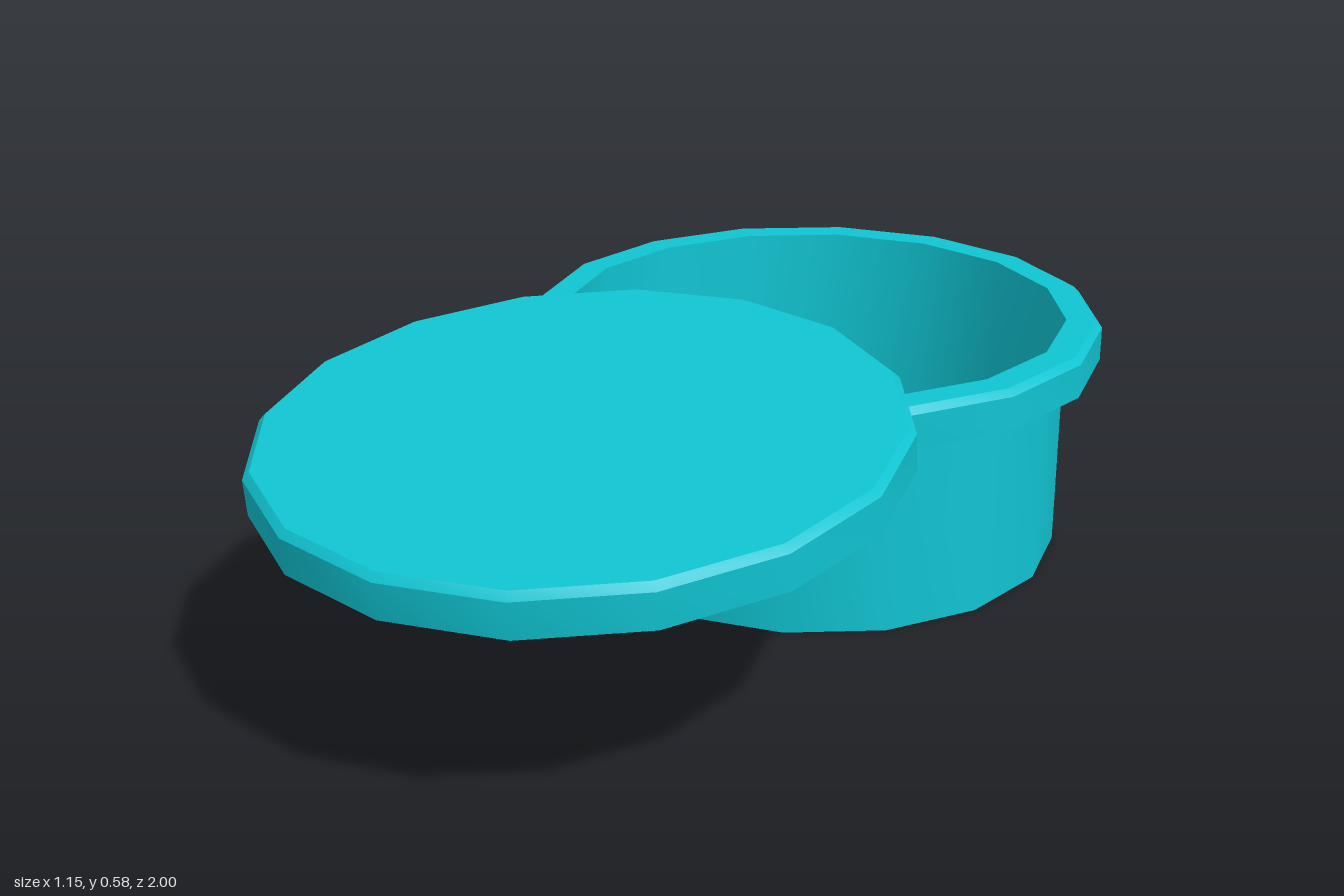
import * as THREE from 'three';
import { toCreasedNormals } from 'three/addons/utils/BufferGeometryUtils.js';

const SIDES = 16;
const material = new THREE.MeshStandardMaterial({ color: 0x10c4d2, side: THREE.DoubleSide });

// Thin 16-sided shell turned from a [radius, height] profile
function turned(name, profile) {
  const points = profile.map(([r, y]) => new THREE.Vector2(r, y));
  const geometry = toCreasedNormals(new THREE.LatheGeometry(points, SIDES), 0.6);
  const mesh = new THREE.Mesh(geometry, material);
  mesh.name = name;
  return mesh;
}

export function createModel() {
  const model = new THREE.Group();
  model.name = 'openContainer';

  // Container: open tube wall with an overhanging, hollow rim
  const container = new THREE.Group();
  container.name = 'container';
  container.add(
    turned('wall', [[0.504, 0], [0.504, 0.48]]),
    turned('rim', [[0.575, 0.4], [0.575, 0.467], [0.562, 0.48], [0.504, 0.48]])
  );
  container.position.z = -0.425;
  model.add(container);

  // Lid: shallow cap, open below, leaning on the rim
  const lid = turned('lid', [[0.575, 0], [0.575, 0.067], [0.562, 0.08], [0, 0.08]]);
  lid.position.set(0, 0.45, 0.418);
  lid.rotation.x = 0.095;
  model.add(lid);

  return model;
}
